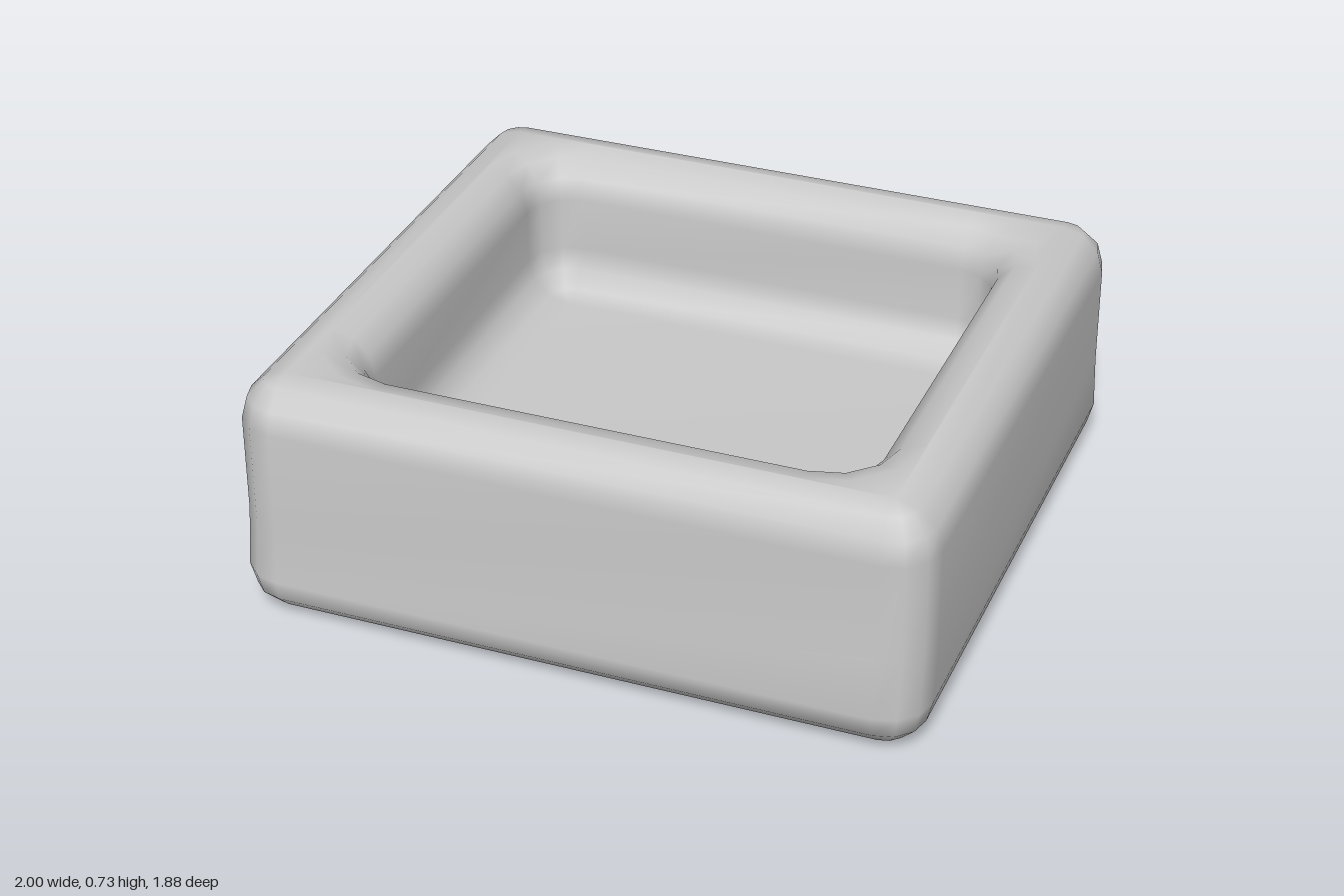
import * as THREE from 'three';
import { mergeVertices } from 'three/addons/utils/BufferGeometryUtils.js';

const R = 0.13; // rounding radius of every edge
const STEPS = 3; // segments per quarter round

// Horizontal rounded-rectangle ring, counter-clockwise seen from above
function ring(hx, hz, r, y) {
  const points = [];
  const corners = [[1, -1], [-1, -1], [-1, 1], [1, 1]];
  corners.forEach(([sx, sz], c) => {
    for (let i = 0; i <= STEPS; i++) {
      const a = (c + i / STEPS) * Math.PI / 2;
      points.push([sx * (hx - r) + r * Math.cos(a), y, sz * (hz - r) - r * Math.sin(a)]);
    }
  });
  return points;
}

// Skin consecutive rings and close both ends with a fan
function loft(rings) {
  const n = rings[0].length;
  const positions = rings.flat(2);
  const index = [];
  for (let k = 0; k < rings.length - 1; k++) {
    for (let i = 0; i < n; i++) {
      const j = (i + 1) % n;
      const a = k * n + i, b = k * n + j, c = a + n, d = b + n;
      index.push(a, b, d, a, d, c);
    }
  }
  const base = rings.length * n;
  const last = base - n;
  positions.push(0, rings[0][0][1], 0, 0, rings[rings.length - 1][0][1], 0);
  for (let i = 0; i < n; i++) {
    const j = (i + 1) % n;
    index.push(base, j, i, base + 1, last + i, last + j);
  }
  const raw = new THREE.BufferGeometry();
  raw.setAttribute('position', new THREE.Float32BufferAttribute(positions, 3));
  raw.setIndex(index);
  const geometry = mergeVertices(raw, 1e-4);
  geometry.computeVertexNormals();
  return geometry;
}

export function createModel() {
  const group = new THREE.Group();
  group.name = 'tray';
  const grey = new THREE.MeshStandardMaterial({ color: 0xc8c8c8 });
  grey.name = 'light grey';

  const top = 0.725, floor = 0.3;
  const inX = 0.735, inZ = 0.655;
  const rings = [];
  const quarter = (fn) => {
    for (let i = 0; i <= STEPS; i++) {
      const a = i / STEPS * Math.PI / 2;
      fn(R * Math.sin(a), R * Math.cos(a));
    }
  };

  // Rounded base edge, slightly flared to front and back
  quarter((s, c) => rings.push(ring(1 - R + s, 0.94 - R + s, s, R - c)));
  // Outer wall and rounded outer rim
  rings.push(ring(1, 0.917, R, 0.3));
  quarter((s, c) => rings.push(ring(1 - R + c, 0.917 - R + c, c, top - R + s)));
  // Rounded inner rim dropping into the hollow
  quarter((s, c) => rings.push(ring(inX + R - s, inZ + R - s, 2 * R - s, top - R + c)));
  // Inner wall and fillet to the floor
  quarter((s, c) => rings.push(ring(inX - R + c, inZ - R + c, c, floor + R - s)));

  const body = new THREE.Mesh(loft(rings), grey);
  body.name = 'trayBody';
  group.add(body);
  return group;
}
